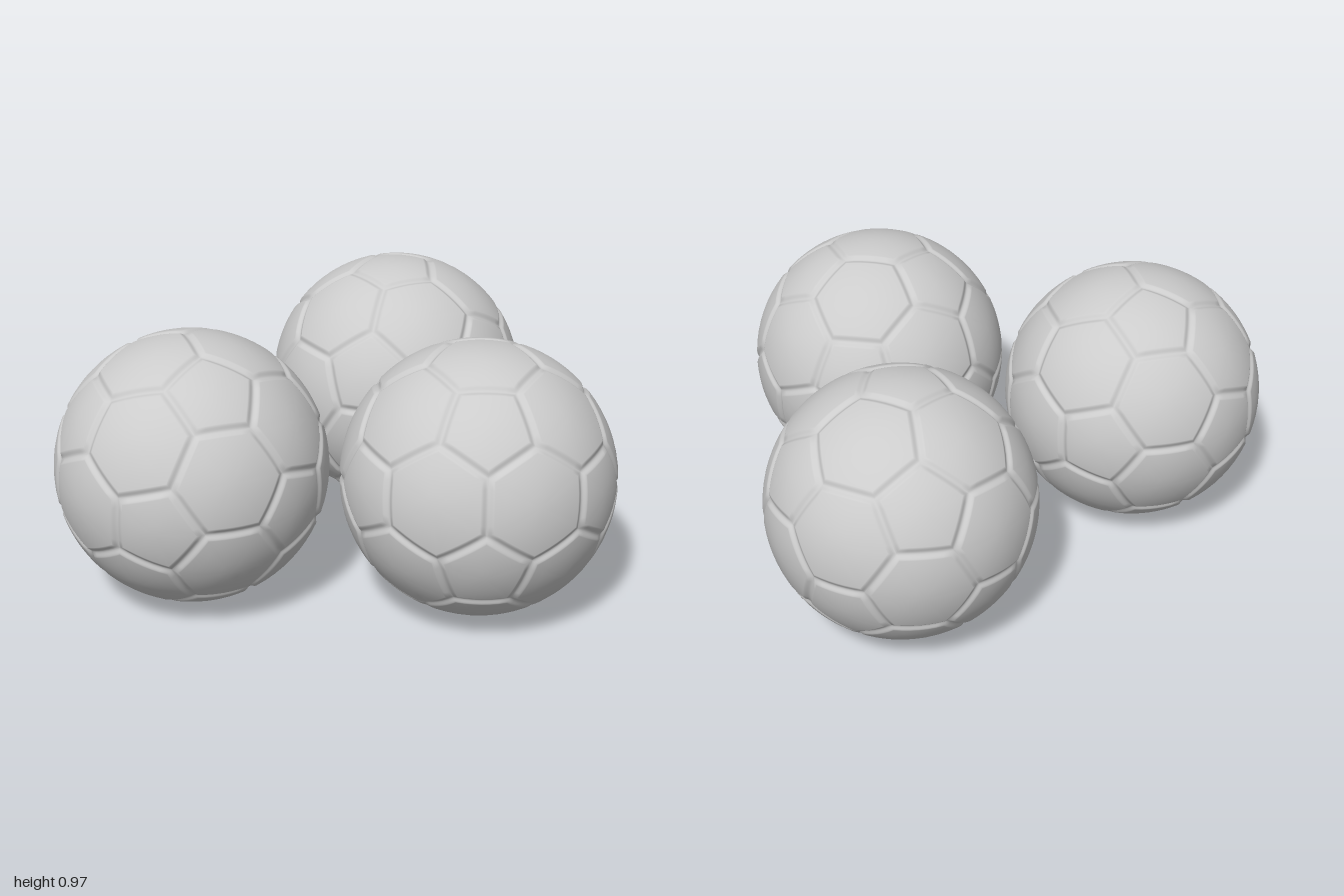
import * as THREE from 'three';
import { mergeVertices } from 'three/addons/utils/BufferGeometryUtils.js';

const RADIUS = 0.487;
const SEGMENTS = 6;          // divisions along each panel edge
const GROOVE_WIDTH = 0.05;   // half width of a seam, relative to the radius
const GROOVE_DEPTH = 0.02;   // relative to the radius

// Twelve pentagon axes: poles plus two staggered rings
function pentagonAxes() {
  const axes = [new THREE.Vector3(0, 1, 0), new THREE.Vector3(0, -1, 0)];
  for (let k = 0; k < 5; k++) {
    const up = (36 + 72 * k) * Math.PI / 180;
    const h = 1 / Math.sqrt(5), r = 2 * h;
    const v = new THREE.Vector3(r * Math.sin(up), h, r * Math.cos(up));
    axes.push(v, v.clone().negate());
  }
  return axes;
}

// Panels of a classic 32-panel ball: each is an ordered ring of corners
function ballPanels() {
  const pents = pentagonAxes();
  const near = (a, b) => a !== b && a.dot(b) > 0.4;
  const corners = [], axes = [...pents];
  pents.forEach((a, i) => pents.forEach((b, j) => {
    if (!near(a, b)) return;
    corners.push(a.clone().multiplyScalar(2).add(b).normalize());
    pents.forEach((c, k) => {
      if (i < j && j < k && near(a, c) && near(b, c)) axes.push(a.clone().add(b).add(c).normalize());
    });
  }));
  return axes.map((axis) => {
    const best = Math.max(...corners.map((c) => c.dot(axis)));
    const ring = corners.filter((c) => c.dot(axis) > best - 1e-3);
    const u = ring[0].clone().addScaledVector(axis, -ring[0].dot(axis)).normalize();
    const v = axis.clone().cross(u);
    const angle = (p) => Math.atan2(p.dot(v), p.dot(u));
    return ring.sort((p, q) => angle(p) - angle(q));
  });
}

// Each panel is a set of concentric rings on the sphere, sinking at its seam
function ballGeometry() {
  const positions = [], index = [];
  const insets = [0, 0.2, 0.4, 0.6, 0.8, 1].map((f) => f * GROOVE_WIDTH);
  const add = (p, inset) => {
    const f = Math.min(inset / GROOVE_WIDTH, 1);
    const r = RADIUS * (1 - GROOVE_DEPTH * 0.5 * (1 + Math.cos(Math.PI * f)));
    positions.push(...p.normalize().multiplyScalar(r).toArray());
  };
  for (const ring of ballPanels()) {
    const n = ring.length, count = n * SEGMENTS;
    const centre = ring.reduce((s, p) => s.add(p), new THREE.Vector3()).divideScalar(n);
    const apothem = ring[0].clone().add(ring[1]).multiplyScalar(0.5).distanceTo(centre);
    const start = positions.length / 3;
    const innerT = 1 - GROOVE_WIDTH / apothem;
    const ts = [...insets.map((d) => 1 - d / apothem), ...[0.75, 0.5, 0.25].map((f) => f * innerT)];
    for (const t of ts) {
      for (let k = 0; k < count; k++) {
        const side = Math.floor(k / SEGMENTS);
        const edge = ring[side].clone().lerp(ring[(side + 1) % n], (k % SEGMENTS) / SEGMENTS);
        add(centre.clone().lerp(edge, t), (1 - t) * apothem);
      }
    }
    add(centre.clone(), 1);
    const tip = start + ts.length * count;
    for (let k = 0; k < count; k++) {
      const next = (k + 1) % count;
      for (let j = 0; j < ts.length - 1; j++) {
        const a = start + j * count, b = a + count;
        index.push(a + k, a + next, b + next, a + k, b + next, b + k);
      }
      const last = tip - count;
      index.push(last + k, last + next, tip);
    }
  }
  const raw = new THREE.BufferGeometry();
  raw.setAttribute('position', new THREE.Float32BufferAttribute(positions, 3));
  raw.setIndex(index);
  const geometry = mergeVertices(raw, 1e-5);
  geometry.computeVertexNormals();
  return geometry;
}

export function createModel() {
  const group = new THREE.Group();
  group.name = 'footballs';
  const geometry = ballGeometry();
  const material = new THREE.MeshStandardMaterial({ color: 0xcccccc });

  // axis: direction of one pentagon; edge: where the middle of one of its sides points
  const balls = [
    { name: 'frontRightBall', at: [-0.503, 0.513], axis: [-0.26, 0.895, -0.36], edge: [0.09, -0.065, 0.99] },
    { name: 'frontLeftBall', at: [0.497, 0.336], axis: [0.25, -0.33, 0.91], edge: [-0.1, -0.94, -0.31] },
    { name: 'backBall', at: [-0.023, -0.513], axis: [0.01, 0.995, 0.105], edge: [0, 0, -1] },
  ];
  for (const { name, at, axis, edge } of balls) {
    const y = new THREE.Vector3(...axis).normalize();
    const x = y.clone().cross(new THREE.Vector3(...edge)).normalize();
    const z = x.clone().cross(y);
    const ball = new THREE.Mesh(geometry, material);
    ball.name = name;
    ball.quaternion.setFromRotationMatrix(new THREE.Matrix4().makeBasis(x, y, z));
    ball.position.set(at[0], RADIUS, at[1]);
    group.add(ball);
  }
  return group;
}
